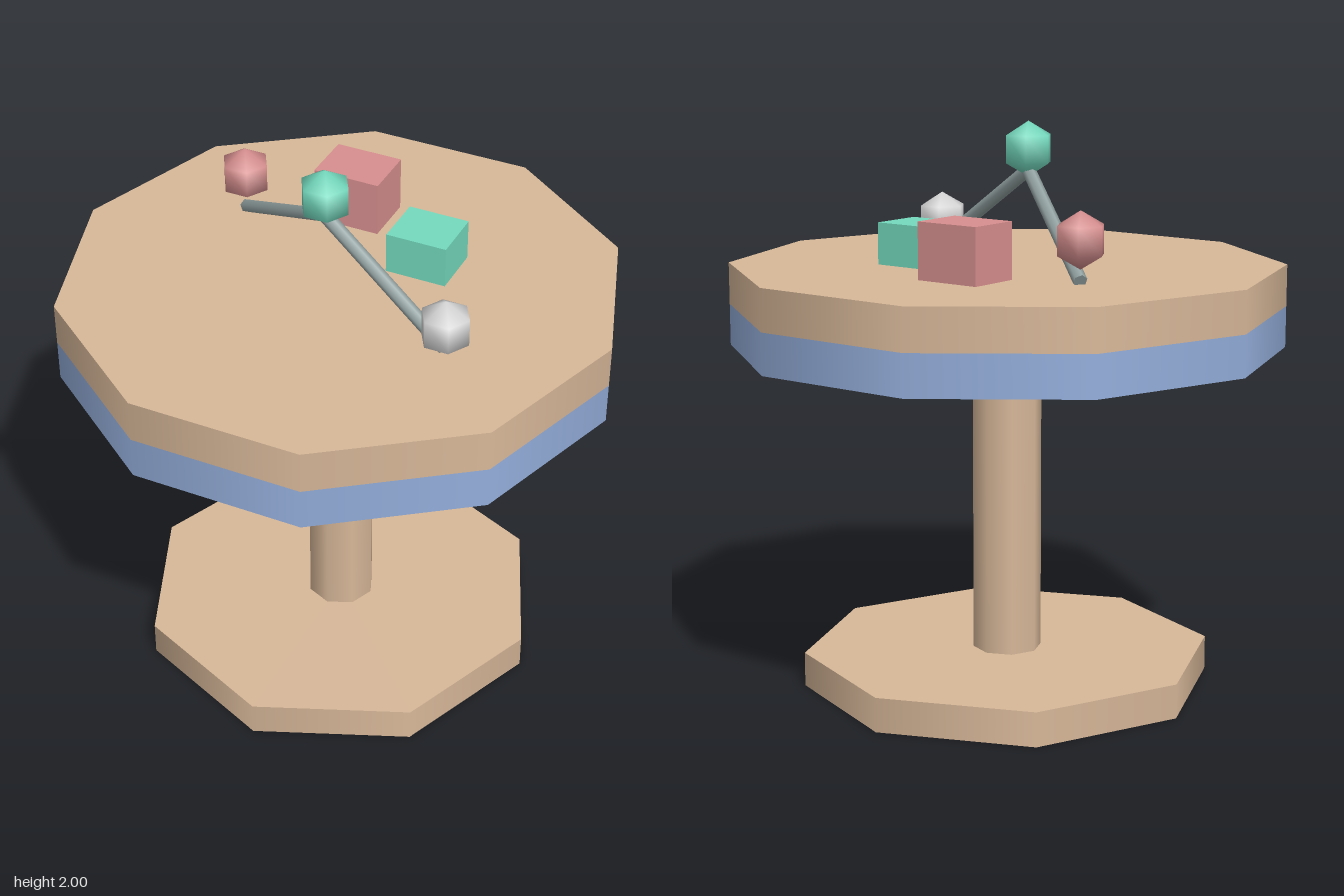
import * as THREE from 'three';

const mat = (name, color) => {
  const m = new THREE.MeshStandardMaterial({ color });
  m.name = name;
  return m;
};

export function createModel() {
  const tan = mat('tan wood', 0xd8b899);
  const blue = mat('soft blue', 0x94aedb);
  const red = mat('dusty red', 0xd88f8f);
  const mint = mat('mint green', 0x74dabe);
  const white = mat('pale grey', 0xd8d8d8);
  const steel = mat('grey steel', 0x94a3a3);

  const model = new THREE.Group();
  model.name = 'pedestalTable';
  const add = (name, geometry, material, x = 0, y = 0, z = 0) => {
    const mesh = new THREE.Mesh(geometry, material);
    mesh.name = name;
    mesh.position.set(x, y, z);
    model.add(mesh);
    return mesh;
  };

  // Round slabs and column, given by radius, bottom and top height
  const drum = (name, material, radius, bottom, top, sides, turn = 0) => {
    const g = new THREE.CylinderGeometry(radius, radius, top - bottom, sides);
    add(name, g.rotateY(turn), material, 0, (bottom + top) / 2, 0);
  };
  drum('base', tan, 0.73, 0, 0.122, 8);
  drum('column', tan, 0.122, 0.122, 1.22, 8);
  drum('tableUnderside', blue, 0.975, 1.22, 1.365, 10, Math.PI / 10);
  drum('tableTop', tan, 0.975, 1.365, 1.512, 10, Math.PI / 10);

  // Blocks standing on the table
  add('redBlock', new THREE.BoxGeometry(0.243, 0.196, 0.195), red, -0.122, 1.61, -0.39);
  add('mintBlock', new THREE.BoxGeometry(0.219, 0.147, 0.195), mint, 0.231, 1.5855, -0.195);

  // Six-sided beads
  const bead = new THREE.SphereGeometry(0.0975, 6, 3);
  add('mintBead', bead, mint, 0, 1.9025, 0.122);
  add('redBead', bead, red, -0.488, 1.66, -0.244);
  add('whiteBead', bead, white, 0.488, 1.61, 0.244);

  // Rods sloping down from the mint bead
  const apex = new THREE.Vector3(0, 1.83, 0.122);
  const rod = (name, x, z) => {
    const foot = new THREE.Vector3(x, 1.524, z);
    const dir = apex.clone().sub(foot);
    const mesh = add(name, new THREE.CylinderGeometry(0.0244, 0.0244, dir.length(), 6), steel);
    mesh.position.copy(foot).add(apex).multiplyScalar(0.5);
    mesh.quaternion.setFromUnitVectors(new THREE.Vector3(0, 1, 0), dir.normalize());
  };
  rod('leftRod', 0.488, 0.244);
  rod('rightRod', -0.488, -0.244);

  return model;
}
